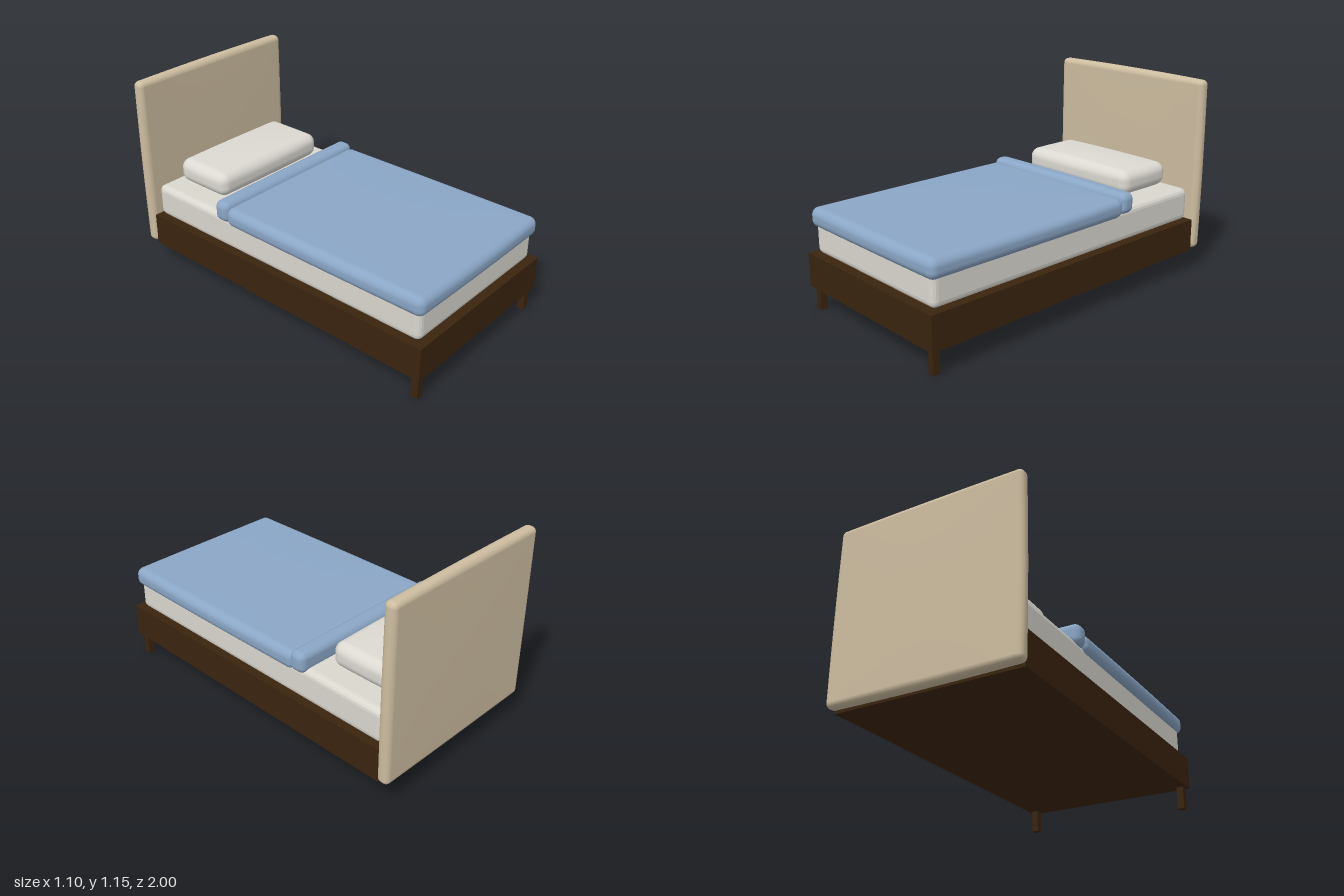
import * as THREE from 'three';
import { mergeVertices } from 'three/addons/utils/BufferGeometryUtils.js';

const mat = (name, color, extra = {}) => Object.assign(new THREE.MeshStandardMaterial({ color, ...extra }), { name });

// Padded box between two corners: edges rounded by r in n steps, faces swollen by puff [x, y, z]
function softBox(min, max, r, n, puff = [0, 0, 0], flat = false) {
  const lo = new THREE.Vector3(...min), hi = new THREE.Vector3(...max);
  const half = hi.clone().sub(lo).multiplyScalar(0.5);
  const centre = hi.clone().add(lo).multiplyScalar(0.5);
  const mid = flat ? 1 : 8;
  const segs = mid + 2 * n;
  let geo = new THREE.BoxGeometry(2, 2, 2, segs, segs, segs);
  geo.deleteAttribute('uv');
  geo.deleteAttribute('normal');
  geo = mergeVertices(geo, 1e-4);
  const pos = geo.attributes.position;
  const v = new THREE.Vector3(), core = new THREE.Vector3(), d = new THREE.Vector3();
  for (let i = 0; i < pos.count; i++) {
    v.fromBufferAttribute(pos, i);
    for (const a of ['x', 'y', 'z']) {
      // spread grid lines so n of them lie inside each rounded edge
      const k = Math.round((v[a] + 1) / 2 * segs);
      const inner = half[a] - Math.min(r, half[a]);
      const e = k < n ? n - k : k > segs - n ? k - (segs - n) : 0;
      const sign = k < segs / 2 ? -1 : 1;
      core[a] = e > 0 ? sign * inner : inner * (2 * (k - n) / mid - 1);
      d[a] = e > 0 ? sign * Math.tan(e / n * Math.PI / 4) : 0;
    }
    if (d.lengthSq() > 0) d.normalize().multiplyScalar(r);
    v.copy(core).add(d);
    // swell each face towards its middle
    const f = { x: 1 - (v.x / half.x) ** 2, y: 1 - (v.y / half.y) ** 2, z: 1 - (v.z / half.z) ** 2 };
    const s = [f.y * f.z, f.x * f.z, f.x * f.y];
    v.x += puff[0] * s[0] * v.x / half.x;
    v.y += puff[1] * s[1] * v.y / half.y;
    v.z += puff[2] * s[2] * v.z / half.z;
    pos.setXYZ(i, v.x + centre.x, v.y + centre.y, v.z + centre.z);
  }
  geo.computeVertexNormals();
  return geo;
}

export function createModel() {
  const group = new THREE.Group();
  const wood = mat('dark wood', 0x3a240f);
  const fabric = mat('beige upholstery', 0xcdbda0);
  const sheet = mat('mattress white', 0xdad7cf, { flatShading: true });
  const linen = mat('pillow white', 0xdcd9d2);
  const blue = mat('blanket blue', 0x8aa6c6);

  const add = (name, geo, material) => {
    const mesh = new THREE.Mesh(geo, material);
    mesh.name = name;
    group.add(mesh);
    return mesh;
  };

  // Frame and its two foot-end legs
  const frame = new THREE.BoxGeometry(1.06, 0.19, 1.93);
  frame.translate(0, 0.225, 0.035);
  add('bedFrame', frame, wood);
  for (const side of [-1, 1]) {
    const leg = new THREE.BoxGeometry(0.04, 0.14, 0.04);
    leg.translate(side * 0.49, 0.07, 0.96);
    add(side > 0 ? 'leftLeg' : 'rightLeg', leg, wood);
  }

  // Upholstered headboard
  add('headboard', softBox([-0.545, 0.14, -0.995], [0.545, 1.142, -0.925], 0.028, 4, [0.007, 0.007, 0.004]), fabric);

  // Mattress with bevelled edges
  add('mattress', softBox([-0.5, 0.32, -0.915], [0.5, 0.51, 0.965], 0.035, 2, [0, 0, 0], true), sheet);

  // Pillow
  add('pillow', softBox([-0.388, 0.522, -0.847], [0.388, 0.66, -0.477], 0.052, 5, [0.006, 0.012, 0.006]), linen);

  // Blanket and its folded-back edge
  add('blanket', softBox([-0.52, 0.468, -0.33], [0.52, 0.578, 0.985], 0.042, 5, [0.008, 0.006, 0.008]), blue);
  add('blanketFold', softBox([-0.522, 0.483, -0.408], [0.522, 0.601, -0.312], 0.035, 5, [0.004, 0.004, 0.006]), blue);

  return group;
}
